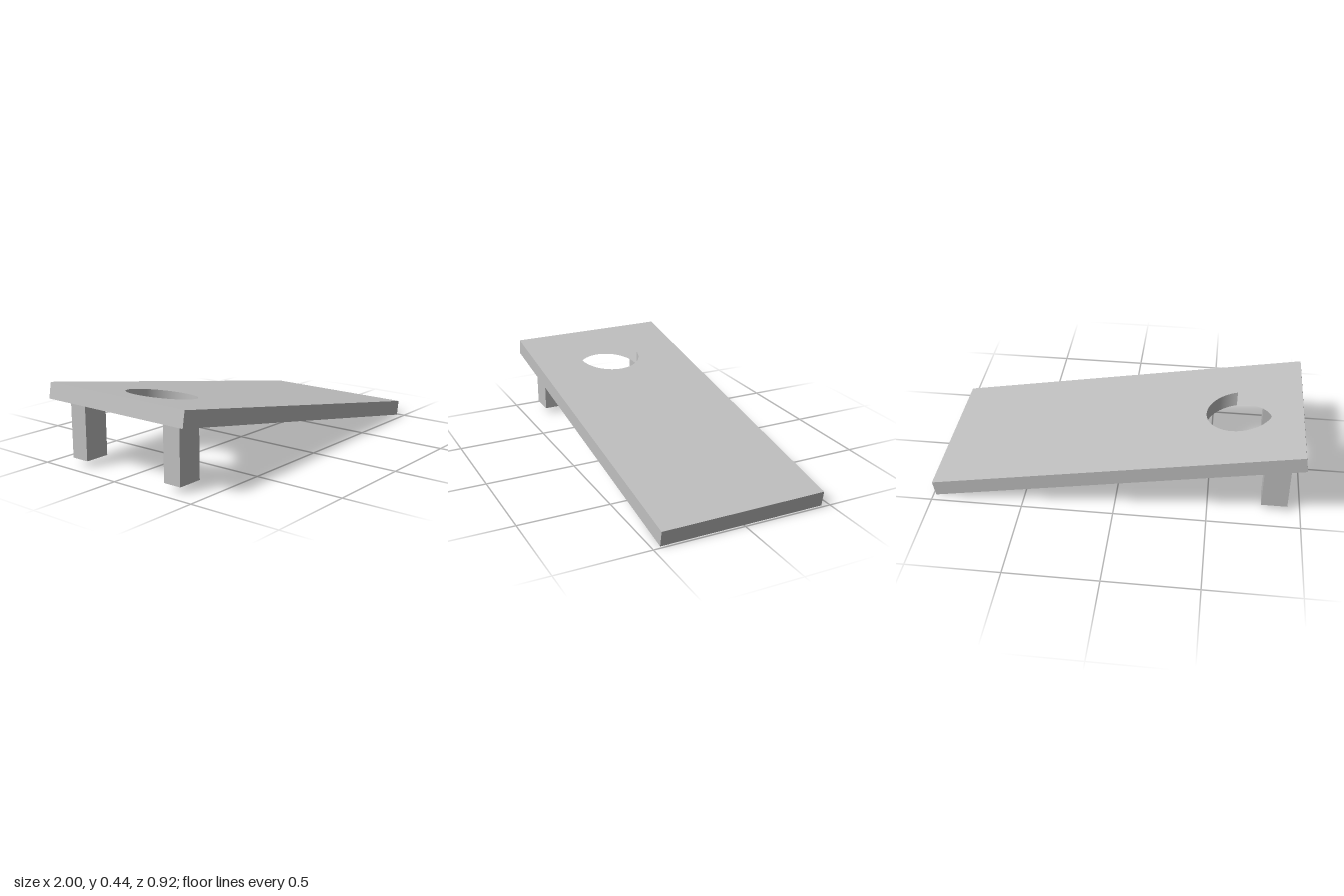
import * as THREE from 'three';

const grey = new THREE.MeshStandardMaterial({ color: 0xc0c0c0, side: THREE.DoubleSide });
grey.name = 'plain grey';

const SLOPE = Math.tan(THREE.MathUtils.degToRad(10));
const HALF_DEPTH = 0.4575, HOLE_X = -0.648, HOLE_R = 0.184;
const topY = (x) => 0.087 + (1 - x) * SLOPE;
const bottomY = (x) => 0.002 + (0.985 - x) * SLOPE;

function addMesh(parent, name, geometry) {
  const mesh = new THREE.Mesh(geometry, grey);
  mesh.name = name;
  parent.add(mesh);
  return mesh;
}

// Sloping sheet with the round hole cut straight down through it
function sheet(x0, x1, heightAt, facing) {
  const shape = new THREE.Shape();
  shape.moveTo(x0, -HALF_DEPTH).lineTo(x1, -HALF_DEPTH).lineTo(x1, HALF_DEPTH).lineTo(x0, HALF_DEPTH).closePath();
  const hole = new THREE.Path();
  hole.absarc(HOLE_X, 0, HOLE_R, 0, Math.PI * 2, true);
  shape.holes.push(hole);
  const geometry = new THREE.ShapeGeometry(shape, 32);
  geometry.rotateX(-facing * Math.PI / 2);
  const p = geometry.attributes.position;
  for (let i = 0; i < p.count; i++) p.setY(i, heightAt(p.getX(i)));
  geometry.computeVertexNormals();
  return geometry;
}

// Four flat edge strips joining the upper and lower sheets
function rim() {
  const points = [];
  const corners = [[-1, 1], [1, 1], [1, -1], [-1, -1]];
  const upper = ([sx, sz]) => { const x = sx < 0 ? -0.985 : 1; return [x, topY(x), sz * HALF_DEPTH]; };
  const lower = ([sx, sz]) => { const x = sx < 0 ? -1 : 0.985; return [x, bottomY(x), sz * HALF_DEPTH]; };
  corners.forEach((a, i) => {
    const b = corners[(i + 1) % 4];
    points.push(...lower(a), ...lower(b), ...upper(b), ...lower(a), ...upper(b), ...upper(a));
  });
  const geometry = new THREE.BufferGeometry();
  geometry.setAttribute('position', new THREE.Float32BufferAttribute(points, 3));
  geometry.computeVertexNormals();
  return geometry;
}

// Curved lining on the low half of the hole
function lining() {
  const start = THREE.MathUtils.degToRad(5);
  const geometry = new THREE.CylinderGeometry(HOLE_R, HOLE_R, 1, 32, 1, true, start, Math.PI - 2 * start);
  geometry.translate(HOLE_X, 0, 0);
  const p = geometry.attributes.position;
  for (let i = 0; i < p.count; i++) {
    p.setY(i, p.getY(i) > 0 ? topY(p.getX(i)) : bottomY(p.getX(i)));
  }
  return geometry;
}

export function createModel() {
  const model = new THREE.Group();
  model.name = 'tossBoard';

  // Hollow sloping board
  const board = new THREE.Group();
  board.name = 'board';
  addMesh(board, 'boardTop', sheet(-0.985, 1, topY, 1));
  addMesh(board, 'boardUnderside', sheet(-1, 0.985, bottomY, -1));
  addMesh(board, 'boardEdges', rim());
  addMesh(board, 'holeLining', lining());
  model.add(board);

  // Two legs under the raised end
  for (const side of [1, -1]) {
    const leg = addMesh(model, side > 0 ? 'frontLeg' : 'backLeg', new THREE.BoxGeometry(0.14, 0.315, 0.104));
    leg.position.set(-0.86, 0.1925, side * 0.321);
  }
  return model;
}
